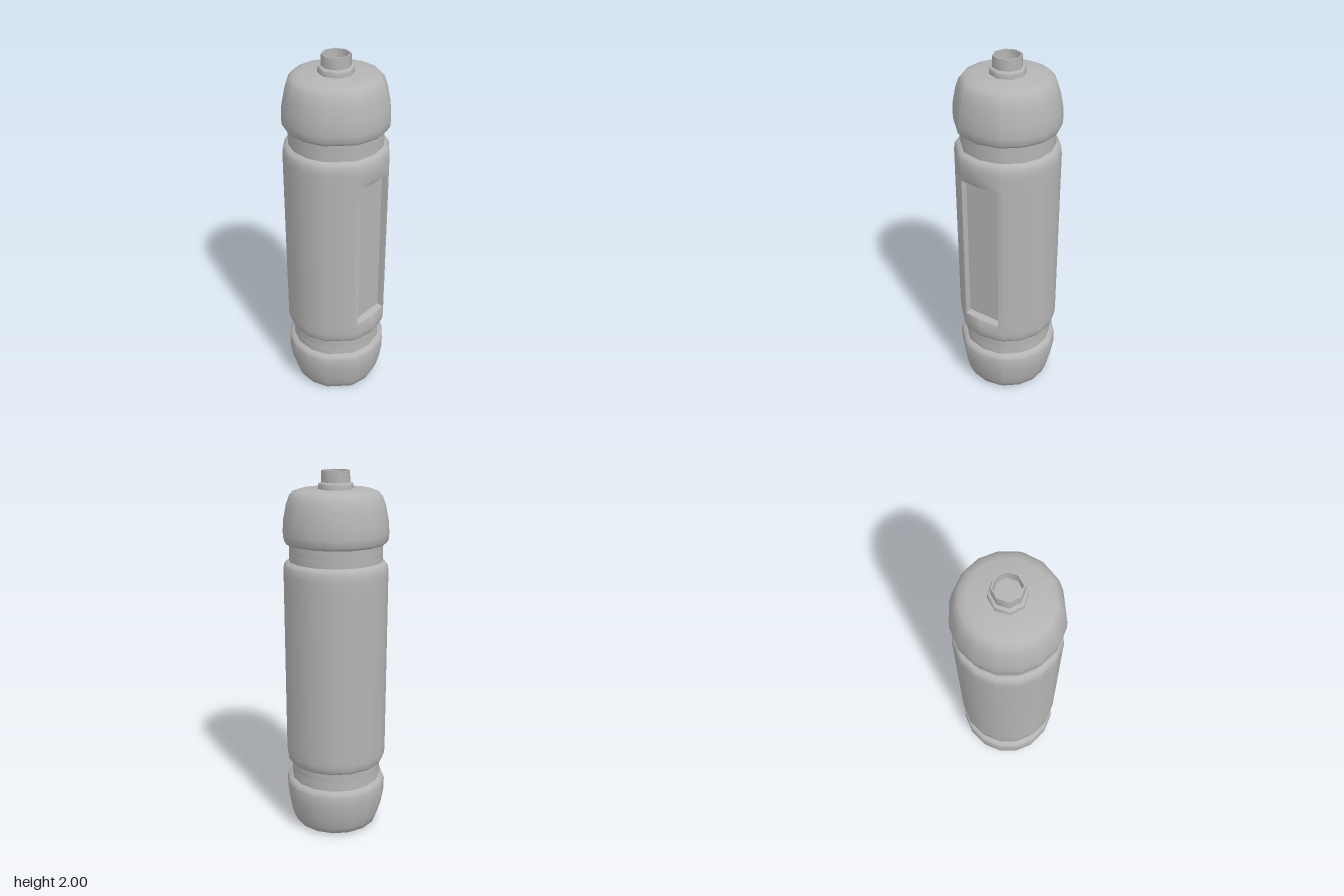
import * as THREE from 'three';
import { toCreasedNormals } from 'three/addons/utils/BufferGeometryUtils.js';

const CREASE = 0.9;
// Ring corners in degrees, from +x towards +z; 67..113 spans the front window
const ANGLES = [-6, 16.6, 39, 61.6, 67, 90, 113, 118.4, 151.6, 174, 197, 219, 241.5, 264, 286.5, 309.5, 331.5];
const WIN = [4, 5, 6];
const WIN_LOW = 0.515, WIN_HIGH = 1.385;

// Profiles as [radius, height]
const BASE = [[0, 0], [0.2, 0], [0.235, 0.015], [0.25, 0.05], [0.265, 0.1], [0.28, 0.19],
  [0.281, 0.255], [0.274, 0.277], [0.252, 0.288], [0.25, 0.34]];
const BODY = [[0.25, 0.34], [0.25, 0.39], [0.268, 0.398], [0.278, 0.415], [0.281, 0.45], [0.281, 0.49],
  [0.281, WIN_LOW], [0.281, WIN_HIGH], [0.281, 1.41], [0.281, 1.47], [0.278, 1.51], [0.268, 1.525],
  [0.25, 1.535], [0.25, 1.58]];
const SHOULDER = [[0.25, 1.58], [0.25, 1.625], [0.268, 1.63], [0.278, 1.645], [0.281, 1.68], [0.278, 1.74],
  [0.262, 1.82], [0.245, 1.87], [0.225, 1.893], [0.19, 1.905], [0, 1.907]];

function ringPoint([r, y], i) {
  const a = THREE.MathUtils.degToRad(ANGLES[i % ANGLES.length]);
  // The window's lip is rounded inwards at its middle
  const lip = i === 5 && (y === WIN_LOW || y === WIN_HIGH) ? 0.016 : 0;
  return new THREE.Vector3(Math.cos(a) * (r - lip), y, Math.sin(a) * (r - lip));
}

function addQuad(out, a, b, c, d) {
  for (const [p, q, s] of [[a, b, c], [a, c, d]]) {
    if (p.distanceTo(q) < 1e-6 || q.distanceTo(s) < 1e-6 || s.distanceTo(p) < 1e-6) continue;
    for (const v of [p, q, s]) out.push(v.x, v.y, v.z);
  }
}

function finish(out) {
  const g = new THREE.BufferGeometry();
  g.setAttribute('position', new THREE.Float32BufferAttribute(out, 3));
  return toCreasedNormals(g, CREASE);
}

// Skin a profile around the ring, optionally leaving the window open
function shell(profile, open = false) {
  const out = [];
  for (let j = 0; j < profile.length - 1; j++) {
    for (let i = 0; i < ANGLES.length; i++) {
      if (open && profile[j][1] === WIN_LOW && (i === 4 || i === 5)) continue;
      addQuad(out, ringPoint(profile[j], i), ringPoint(profile[j + 1], i),
        ringPoint(profile[j + 1], i + 1), ringPoint(profile[j], i + 1));
    }
  }
  return finish(out);
}

// Walls and flat floor of the sunken window
function windowRecess() {
  const out = [];
  const low = WIN.map(i => ringPoint([0.281, WIN_LOW], i));
  const high = WIN.map(i => ringPoint([0.281, WIN_HIGH], i));
  const sink = (v, dy) => new THREE.Vector3(v.x * 0.96, v.y + dy, 0.225);
  const lowIn = low.map(v => sink(v, 0.008));
  const highIn = high.map(v => sink(v, -0.008));
  for (let k = 0; k < 2; k++) {
    addQuad(out, lowIn[k], highIn[k], highIn[k + 1], lowIn[k + 1]);
    addQuad(out, low[k], lowIn[k], lowIn[k + 1], low[k + 1]);
    addQuad(out, highIn[k], high[k], high[k + 1], highIn[k + 1]);
  }
  addQuad(out, low[0], high[0], highIn[0], lowIn[0]);
  addQuad(out, lowIn[2], highIn[2], high[2], low[2]);
  return finish(out);
}

export function createModel() {
  const group = new THREE.Group();
  group.name = 'bottle';
  const grey = new THREE.MeshStandardMaterial({ color: 0xb4b4b4 });
  grey.name = 'grey';
  const add = (name, geometry) => {
    const mesh = new THREE.Mesh(geometry, grey);
    mesh.name = name;
    group.add(mesh);
  };

  add('base', shell(BASE));
  add('body', shell(BODY, true));
  add('windowRecess', windowRecess());
  add('shoulder', shell(SHOULDER));

  // Eight-sided collar and hollow spout
  const spout = [[0.093, 1.9], [0.093, 1.93], [0.088, 1.938], [0.077, 1.94], [0.076, 2],
    [0.068, 2], [0.066, 1.95], [0, 1.95]].map(([r, y]) => new THREE.Vector2(r, y));
  add('spout', toCreasedNormals(new THREE.LatheGeometry(spout, 8), CREASE));
  return group;
}
